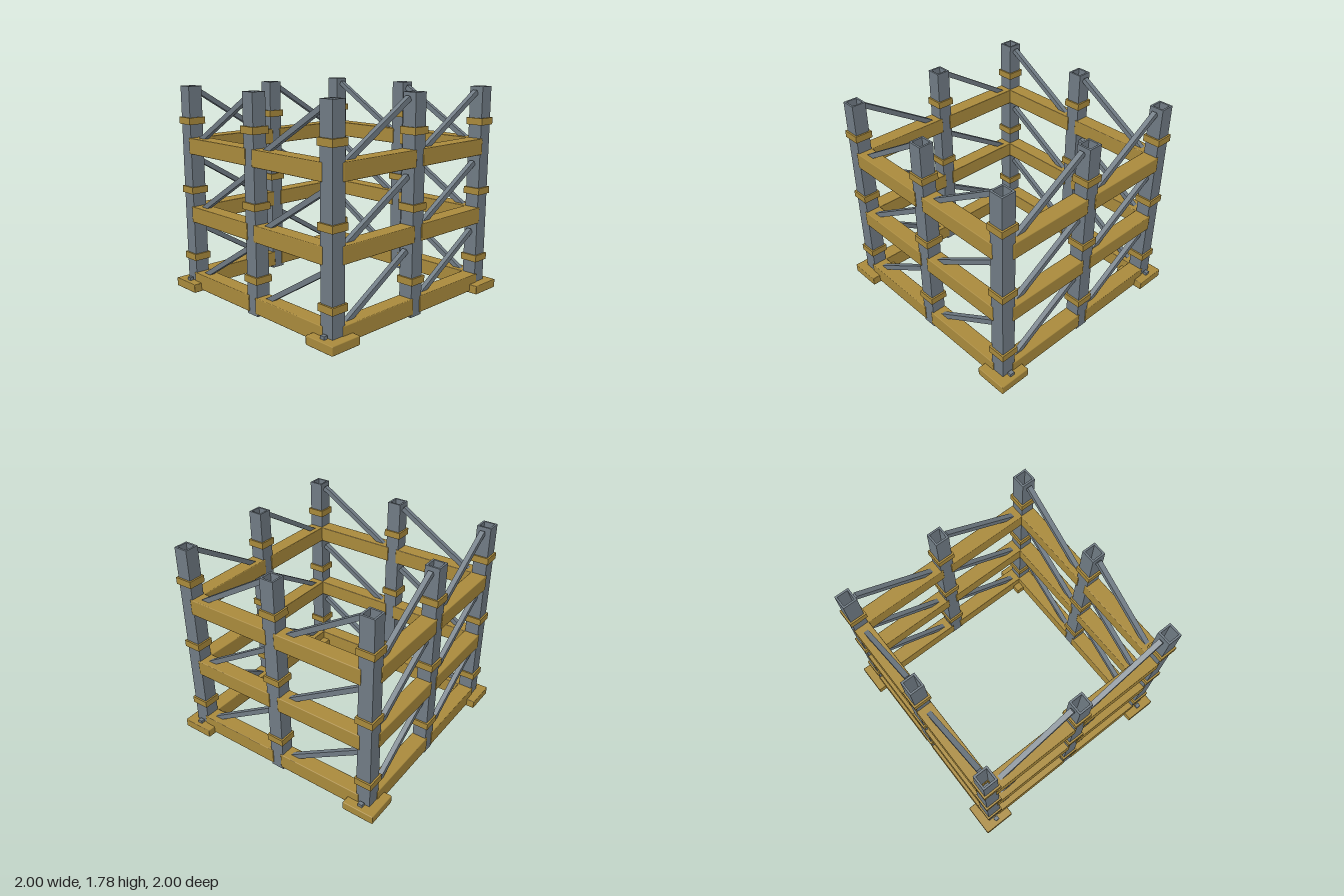
import * as THREE from 'three';
import { RoundedBoxGeometry } from 'three/addons/geometries/RoundedBoxGeometry.js';

const R = 0.86;                       // distance of each frame side from the centre
const HEIGHT = 1.78;
const LEVELS = [0.09, 0.685, 1.28];   // beam centre heights

// Hollow square tube standing on y = 0
function squareTube(outer, inner, height) {
  const square = (path, s) => path.moveTo(-s, -s).lineTo(s, -s).lineTo(s, s).lineTo(-s, s).closePath();
  const shape = square(new THREE.Shape(), outer / 2);
  shape.holes.push(square(new THREE.Path(), inner / 2));
  const geo = new THREE.ExtrudeGeometry(shape, { depth: height, bevelEnabled: false });
  return geo.rotateX(-Math.PI / 2);
}

export function createModel() {
  const model = new THREE.Group();
  model.name = 'scaffoldFrame';
  const steel = new THREE.MeshStandardMaterial({ color: 0x707b84 });
  steel.name = 'greySteel';
  const ochre = new THREE.MeshStandardMaterial({ color: 0xa98a3c });
  ochre.name = 'ochre';

  function add(parent, name, geo, mat, x, y, z) {
    const mesh = new THREE.Mesh(geo, mat);
    mesh.name = name;
    mesh.position.set(x, y, z);
    parent.add(mesh);
    return mesh;
  }

  const columnGeo = squareTube(0.124, 0.092, HEIGHT);
  const collarGeo = squareTube(0.154, 0.122, 0.058);
  const beamGeo = new RoundedBoxGeometry(0.78, 0.138, 0.138, 1, 0.007);
  const padGeo = new RoundedBoxGeometry(0.28, 0.075, 0.28, 1, 0.007);
  const braceGeo = new THREE.BoxGeometry(0.848, 0.042, 0.042);
  const boltGeo = new THREE.BoxGeometry(0.034, 0.04, 0.04);
  const plateX = new THREE.BoxGeometry(0.07, 0.1, 0.028);
  const plateZ = new THREE.BoxGeometry(0.028, 0.1, 0.07);
  const webGeo = new THREE.BoxGeometry(0.05, 0.1, 0.024);

  // Column with its collars
  function column(name, x, z) {
    const group = new THREE.Group();
    group.name = name;
    group.position.set(x, 0, z);
    add(group, 'tube', columnGeo, steel, 0, 0, 0);
    for (const y of LEVELS) add(group, 'collar', collarGeo, ochre, 0, y + 0.181, 0);
    model.add(group);
    return group;
  }

  // Corner columns on base pads, with an inner angle bracket and a bolt
  for (const sx of [-1, 1]) for (const sz of [-1, 1]) {
    const corner = column('cornerColumn', sx * R, sz * R);
    add(corner, 'basePad', padGeo, ochre, 0, 0.046, 0);
    add(corner, 'padBolt', boltGeo, steel, sx * 0.088, 0.09, 0);
    for (const y of LEVELS) {
      add(corner, 'angleBracket', plateX, steel, 0, y, -sz * 0.02);
      add(corner, 'angleBracket', plateZ, steel, -sx * 0.02, y, 0);
    }
  }

  // Middle columns with inner webs
  for (const [x, z] of [[0, R], [R, 0], [0, -R], [-R, 0]]) {
    const mid = column('middleColumn', x, z);
    for (const y of LEVELS) for (const s of [-1, 1]) {
      add(mid, 'innerWeb', webGeo, steel, 0, y, s * 0.02);
    }
  }

  // Four sides, each with two bays of beams and rising braces
  for (let i = 0; i < 4; i++) {
    const side = new THREE.Group();
    side.name = 'frameSide';
    side.rotation.y = i * Math.PI / 2;
    for (const y of LEVELS) for (const x of [-0.43, 0.43]) {
      add(side, 'beam', beamGeo, ochre, x, y, R);
      const brace = add(side, 'brace', braceGeo, steel, x, y + 0.234, R - 0.004);
      brace.rotation.z = Math.atan2(0.22, 0.362);
    }
    model.add(side);
  }
  return model;
}
